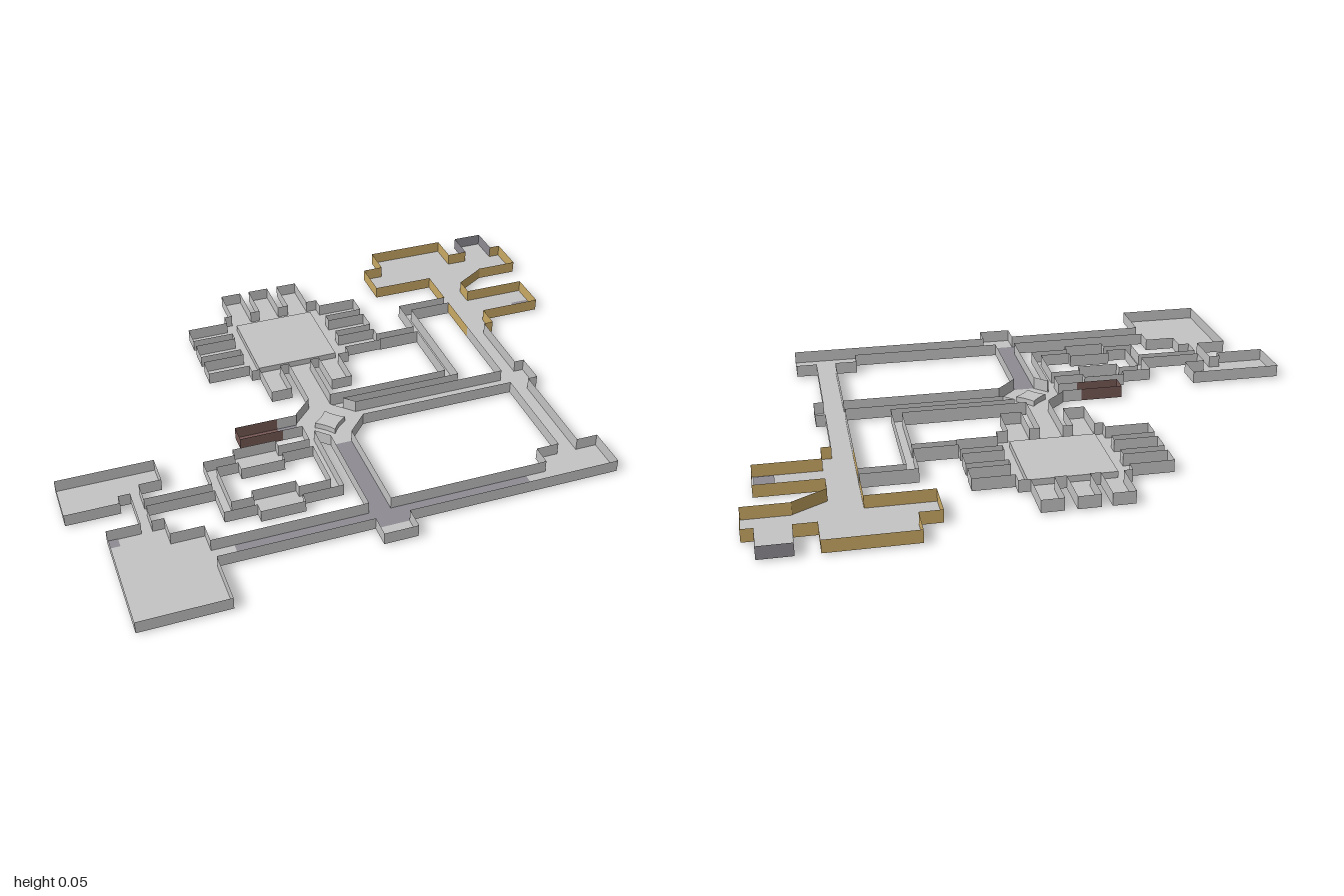
import * as THREE from 'three';

const paint = (name, color) => {
  const m = new THREE.MeshStandardMaterial({ color, side: THREE.DoubleSide });
  m.name = name;
  return m;
};

const TOP = 0.05, FLOOR = 0.006, STEP = 0.005;

// Corners of a rectangle on the ground, as [x, z] pairs
const rect = (x0, z0, x1, z1) => [[x0, z0], [x1, z0], [x1, z1], [x0, z1]];

// Flat polygon facing up at height y
function plate(points, y) {
  const shape = new THREE.Shape(points.map(([x, z]) => new THREE.Vector2(x, -z)));
  return new THREE.ShapeGeometry(shape).rotateX(-Math.PI / 2).translate(0, y, 0);
}

function inside(points, x, z) {
  let hit = false;
  points.forEach(([ax, az], i) => {
    const [bx, bz] = points[(i + 1) % points.length];
    if ((az > z) !== (bz > z) && x < ax + ((z - az) / (bz - az)) * (bx - ax)) hit = !hit;
  });
  return hit;
}

// Walls stand on every stretch of a room's edge that opens onto no other room
function walls(room, rooms) {
  const pos = [];
  const quad = (a, b) => {
    const [p, q, r, s] = [[a[0], room.y, a[1]], [b[0], room.y, b[1]], [b[0], TOP, b[1]], [a[0], TOP, a[1]]];
    pos.push(...p, ...r, ...q, ...p, ...s, ...r);
  };
  room.points.forEach((a, i) => {
    const b = room.points[(i + 1) % room.points.length];
    const dx = b[0] - a[0], dz = b[1] - a[1], len = Math.hypot(dx, dz);
    const n = Math.max(1, Math.round(len / STEP));
    const at = t => [a[0] + dx * t / n, a[1] + dz * t / n];
    let start = -1;
    for (let k = 0; k <= n; k++) {
      const [mx, mz] = at(k + 0.5);
      const ox = mx + dz / len * 0.002, oz = mz - dx / len * 0.002;
      const solid = k < n && !rooms.some(r => r !== room && inside(r.points, ox, oz));
      if (solid && start < 0) start = k;
      if (!solid && start >= 0) { quad(at(start), at(k)); start = -1; }
    }
  });
  const g = new THREE.BufferGeometry();
  g.setAttribute('position', new THREE.Float32BufferAttribute(pos, 3));
  g.computeVertexNormals();
  return g;
}

export function createModel() {
  const grey = paint('light grey', 0xc4c4c4);
  const dark = paint('dark grey', 0x8e8c93);
  const gold = paint('sand gold', 0xcbaa66);
  const brown = paint('dull brown', 0x765955);
  const model = new THREE.Group();
  const rooms = [];
  const add = (name, points, floor = grey, wall = grey, y = FLOOR) => rooms.push({ name, points, floor, wall, y });

  // Octagonal hub and the main corridors
  add('hub', [[-0.08, 0], [0, 0], [0.07, 0.07], [0.07, 0.145], [0, 0.22], [-0.075, 0.22], [-0.15, 0.145], [-0.15, 0.07]]);
  add('northCorridor', rect(-0.08, -0.225, 0, 0));
  add('eastCorridor', rect(0.07, 0.07, 0.63, 0.145));
  add('southCorridor', rect(-0.075, 0.22, 0, 0.585), dark);
  add('gateFloor', rect(-0.22, 0.075, -0.15, 0.14), dark);
  add('gateRoom', rect(-0.37, 0.075, -0.22, 0.14), brown, brown);

  // Hall ringed by cells
  add('hall', rect(-0.22, -0.595, 0.15, -0.225));
  for (const x of [-0.19, -0.08, 0.035]) add('northCell', rect(x, -0.74, x + 0.075, -0.595));
  for (const x of [-0.19, 0.035]) add('southCell', rect(x, -0.225, x + 0.075, -0.08));
  for (const z of [-0.555, -0.445, -0.335]) {
    add('westCell', rect(-0.37, z, -0.22, z + 0.075));
    add('eastCell', rect(0.15, z, 0.29, z + 0.075));
  }

  // Narrow service passages to the north-east
  add('passage', rect(0, 0, 0.475, 0.035), grey, grey, 0);
  add('passage', rect(0.44, -0.45, 0.475, 0), grey, grey, 0);
  add('passage', rect(0.475, -0.45, 0.63, -0.41), grey, grey, 0);
  add('passage', rect(0.29, -0.3, 0.44, -0.265), grey, grey, 0);

  // Western passages and twin rooms
  add('passage', rect(-0.15, 0.145, -0.12, 0.475));
  add('passage', rect(-0.52, 0.215, -0.485, 0.475));
  for (const [room, lane] of [[0.185, 0.215], [0.405, 0.435]]) {
    add('twinRoom', rect(-0.41, room, -0.26, room + 0.105));
    add('passage', rect(-0.485, lane, -0.41, lane + 0.04));
    add('passage', rect(-0.26, lane, -0.15, lane + 0.04));
  }
  add('passage', rect(-0.745, 0.33, -0.52, 0.365));
  add('passage', rect(-0.78, 0.29, -0.745, 0.44));
  add('westRoom', [[-1, 0.15], [-0.67, 0.15], [-0.67, 0.255], [-0.745, 0.255], [-0.745, 0.29], [-0.82, 0.29], [-0.82, 0.325], [-1, 0.325]]);

  // Southern rooms and the long dark corridor
  add('southWestRoom', [[-0.89, 0.44], [-0.705, 0.44], [-0.705, 0.515], [-0.595, 0.515], [-0.595, 0.845], [-0.89, 0.845]]);
  add('longCorridorEnd', rect(-0.595, 0.585, -0.52, 0.66));
  add('longCorridor', rect(-0.52, 0.585, 0.48, 0.66), dark);
  add('longCorridorEnd', rect(0.48, 0.585, 0.55, 0.66));
  add('southAlcove', rect(-0.08, 0.66, 0.035, 0.735));
  add('southEastRoom', rect(0.55, 0.515, 0.775, 0.66));

  // Eastern corridor
  add('eastSpine', rect(0.63, -0.23, 0.7, 0.515));
  add('eastAlcove', rect(0.7, 0.035, 0.735, 0.145));

  // Gold-walled wing
  add('wingCorridor', [[0.63, -0.6], [0.85, -0.6], [0.735, -0.53], [0.735, -0.23], [0.63, -0.23]], grey, gold);
  add('wingSideRoom', rect(0.735, -0.46, 0.96, -0.315), grey, gold);
  add('wingHall', rect(0.405, -0.74, 1, -0.6), grey, gold);
  add('wingBackRoom', rect(0.48, -0.85, 0.775, -0.74), grey, gold);
  add('wingCloset', rect(0.85, -0.85, 0.96, -0.74), grey, dark);

  for (const room of rooms) {
    const group = new THREE.Group();
    group.name = room.name;
    const floor = new THREE.Mesh(plate(room.points, room.y), room.floor);
    floor.name = 'floor';
    const wall = new THREE.Mesh(walls(room, rooms), room.wall);
    wall.name = 'walls';
    group.add(floor, wall);
    model.add(group);
  }

  const extra = (name, geometry, material) => {
    const mesh = new THREE.Mesh(geometry, material);
    mesh.name = name;
    model.add(mesh);
  };

  // Raised floor of the hall
  extra('hallPlatform', new THREE.BoxGeometry(0.295, 0.022, 0.295).translate(-0.035, FLOOR + 0.011, -0.41), grey);

  // Dark floor patches
  extra('cornerPatch', plate(rect(-0.89, 0.44, -0.855, 0.475), FLOOR + 0.002), dark);
  extra('sideRoomPatch', plate(rect(0.89, -0.385, 0.955, -0.32), FLOOR + 0.002), dark);

  // Star-shaped plinth with hollow sides in the hub
  const star = new THREE.Shape();
  star.moveTo(0.055, 0);
  for (let i = 1; i <= 4; i++) {
    const a = i * Math.PI / 2, m = a - Math.PI / 4;
    star.quadraticCurveTo(Math.cos(m) * 0.03, Math.sin(m) * 0.03, Math.cos(a) * 0.055, Math.sin(a) * 0.055);
  }
  extra('hubPlinth', new THREE.ExtrudeGeometry(star, { depth: 0.02, bevelEnabled: false, curveSegments: 4 })
    .rotateX(-Math.PI / 2).translate(-0.04, FLOOR, 0.11), grey);

  return model;
}
